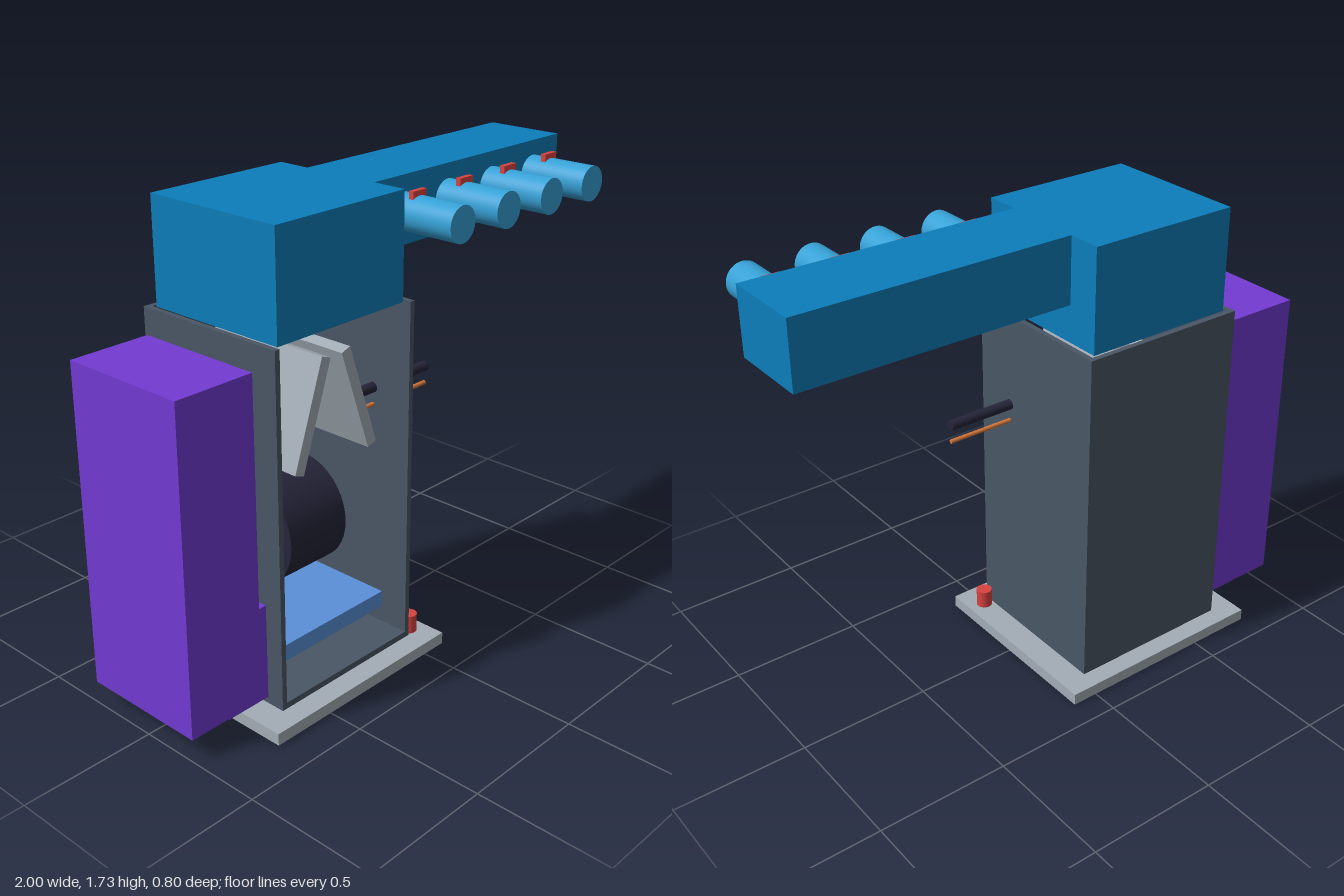
import * as THREE from 'three';

const mat = (name, color) => {
  const m = new THREE.MeshStandardMaterial({ color });
  m.name = name;
  return m;
};

export function createModel() {
  const slate = mat('slate', 0x4a5666);
  const steel = mat('steel', 0xa3adb6);
  const blue = mat('blue', 0x0c7dba);
  const skyBlue = mat('sky blue', 0x36a1d6);
  const trayBlue = mat('tray blue', 0x5a90d8);
  const purple = mat('purple', 0x723ad2);
  const red = mat('red', 0xd84340);
  const dark = mat('dark', 0x25253a);
  const copper = mat('copper', 0xd4783c);

  const model = new THREE.Group();
  model.name = 'machine';

  const add = (parent, name, geometry, material) => {
    const mesh = new THREE.Mesh(geometry, material);
    mesh.name = name;
    parent.add(mesh);
    return mesh;
  };
  // Box given by its [min, max] range on each axis
  const box = (parent, name, material, [x0, x1], [y0, y1], [z0, z1]) => {
    const mesh = add(parent, name, new THREE.BoxGeometry(x1 - x0, y1 - y0, z1 - z0), material);
    mesh.position.set((x0 + x1) / 2, (y0 + y1) / 2, (z0 + z1) / 2);
    return mesh;
  };
  // Cylinder centred on a point, lying along the chosen axis
  const rod = (parent, name, material, axis, radius, length, x, y, z) => {
    const geometry = new THREE.CylinderGeometry(radius, radius, length, 40);
    if (axis === 'x') geometry.rotateZ(-Math.PI / 2);
    if (axis === 'z') geometry.rotateX(Math.PI / 2);
    const mesh = add(parent, name, geometry, material);
    mesh.position.set(x, y, z);
    return mesh;
  };
  const group = (name) => {
    const g = new THREE.Group();
    g.name = name;
    model.add(g);
    return g;
  };

  // Base plate and the button standing on it
  box(model, 'basePlate', steel, [-0.75, 0.1], [0, 0.045], [-0.4, 0.365]);
  rod(model, 'baseButton', red, 'y', 0.03, 0.07, 0.033, 0.08, 0.257);

  // Cabinet shell, open at the front and top
  const cabinet = group('cabinet');
  box(cabinet, 'rightWall', slate, [-0.65, -0.63], [0.047, 1.345], [-0.33, 0.285]);
  box(cabinet, 'leftWall', slate, [-0.02, 0], [0.047, 1.345], [-0.33, 0.285]);
  box(cabinet, 'backWall', slate, [-0.63, -0.02], [0.047, 1.345], [-0.33, -0.31]);
  box(cabinet, 'floor', slate, [-0.63, -0.02], [0.047, 0.07], [-0.31, 0.285]);

  // Head box and the arm reaching to the side
  box(model, 'headBox', blue, [-0.62, -0.035], [1.343, 1.725], [-0.3, 0.265]);
  box(model, 'arm', blue, [-0.035, 1], [1.48, 1.725], [-0.173, 0.133]);

  // Row of canisters, each with a small tab on top
  const canisters = group('canisters');
  for (let i = 0; i < 4; i++) {
    const x = 0.102 + i * 0.248;
    rod(canisters, 'canister', skyBlue, 'z', 0.065, 0.27, x, 1.605, 0.265);
    box(canisters, 'canisterTab', red, [x - 0.034, x + 0.034], [1.66, 1.688], [0.195, 0.215]);
  }

  // Side tank and its connection through the cabinet wall
  box(model, 'sideTank', purple, [-1, -0.69], [0.085, 1.27], [-0.27, 0.225]);
  box(model, 'tankConnector', purple, [-0.83, -0.585], [0.072, 0.43], [-0.26, 0.215]);

  // Tray, drum and funnel plates inside the cabinet
  box(model, 'tray', trayBlue, [-0.585, -0.07], [0.173, 0.235], [-0.26, 0.215]);
  rod(model, 'drum', dark, 'x', 0.202, 0.27, -0.325, 0.543, -0.055);
  for (const side of [-1, 1]) {
    const plate = add(model, 'funnelPlate', new THREE.BoxGeometry(0.042, 0.4, 0.5), steel);
    plate.position.set(-0.322 + side * 0.111, 1.043, -0.02);
    plate.rotation.z = side * 0.33;
  }

  // Rods through the left wall
  rod(model, 'handleRod', dark, 'x', 0.019, 0.36, 0.08, 0.995, 0.12);
  rod(model, 'thinRod', copper, 'x', 0.008, 0.36, 0.08, 0.93, 0.12);

  return model;
}
